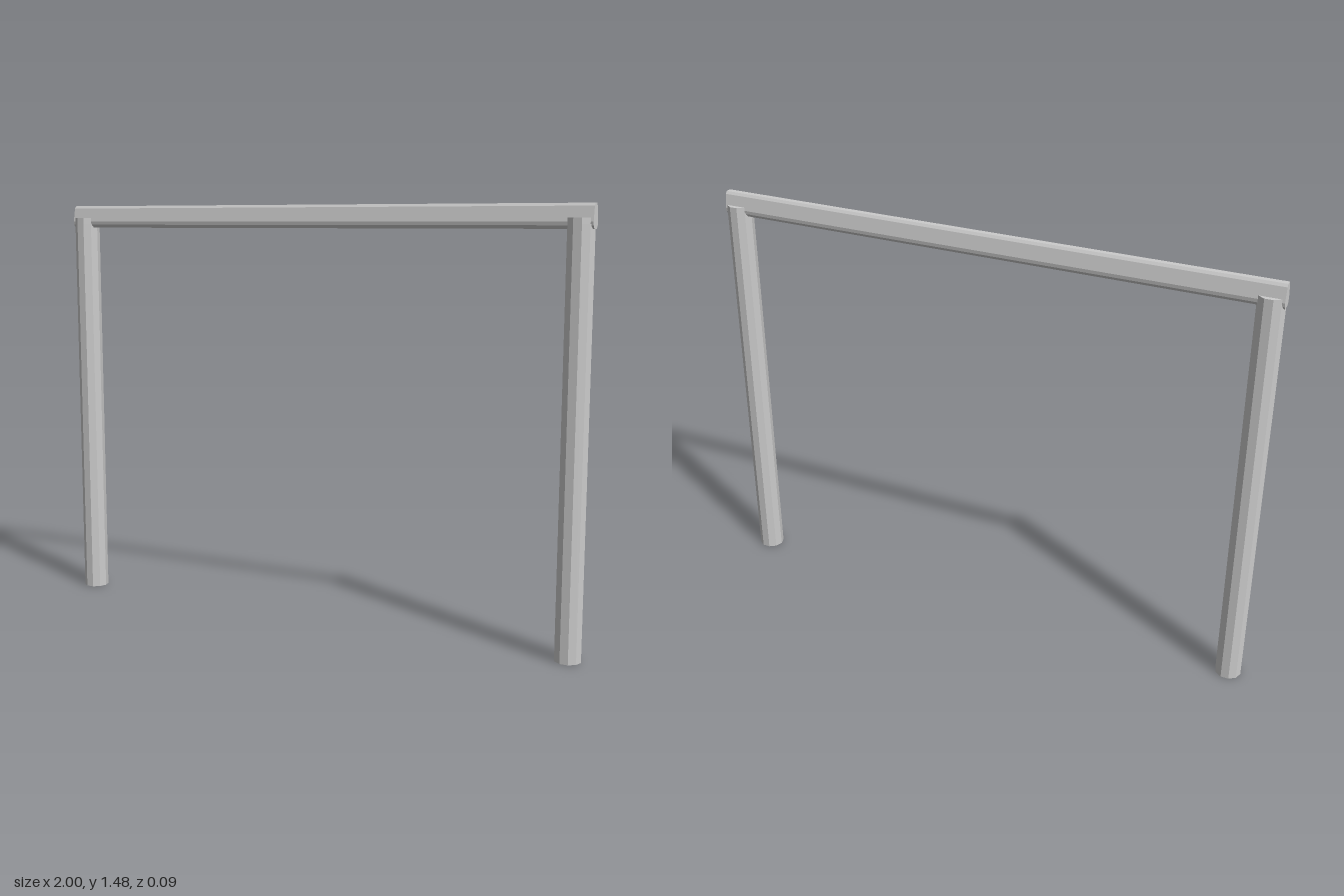
import * as THREE from 'three';

const material = new THREE.MeshStandardMaterial({ color: 0xcccccc, flatShading: true });

function part(name, geometry) {
  const mesh = new THREE.Mesh(geometry, material);
  mesh.name = name;
  return mesh;
}

function prism(points, depth) {
  const shape = new THREE.Shape(points.map(([x, y]) => new THREE.Vector2(x, y)));
  return new THREE.ExtrudeGeometry(shape, { depth, bevelEnabled: false });
}

// Ten-sided post with a corner on the x axis and two cheeks gripping the rail
function createPost(name) {
  const radius = 0.045, seat = 1.41, top = 1.43;
  const corner = (i) => [radius * Math.cos(i * Math.PI / 5), radius * Math.sin(i * Math.PI / 5)];
  const post = new THREE.Group();
  post.name = name;

  const shaft = prism(Array.from({ length: 10 }, (_, i) => corner(i)), seat);
  shaft.rotateX(-Math.PI / 2);
  post.add(part('shaft', shaft));

  for (const first of [1, 6]) {
    const cheek = prism([0, 1, 2, 3].map((i) => corner(first + i)), top - seat);
    cheek.rotateX(-Math.PI / 2).translate(0, seat, 0);
    post.add(part('cheek', cheek));
  }
  return post;
}

export function createModel() {
  const model = new THREE.Group();
  model.name = 'railFrame';

  // Two posts
  for (const side of [1, -1]) {
    const post = createPost(side > 0 ? 'leftPost' : 'rightPost');
    post.position.x = side * 0.955;
    model.add(post);
  }

  // Top rail: narrow crown, wide rounded foot, full width
  const half = [[0.01, 1.475], [0.016, 1.466], [0.025, 1.418], [0.023, 1.406], [0.014, 1.395]];
  const mirrored = half.map(([z, y]) => [-z, y]).reverse();
  const rail = prism([...half, ...mirrored], 2);
  rail.translate(0, 0, -1).rotateY(Math.PI / 2);
  model.add(part('topRail', rail));

  return model;
}
